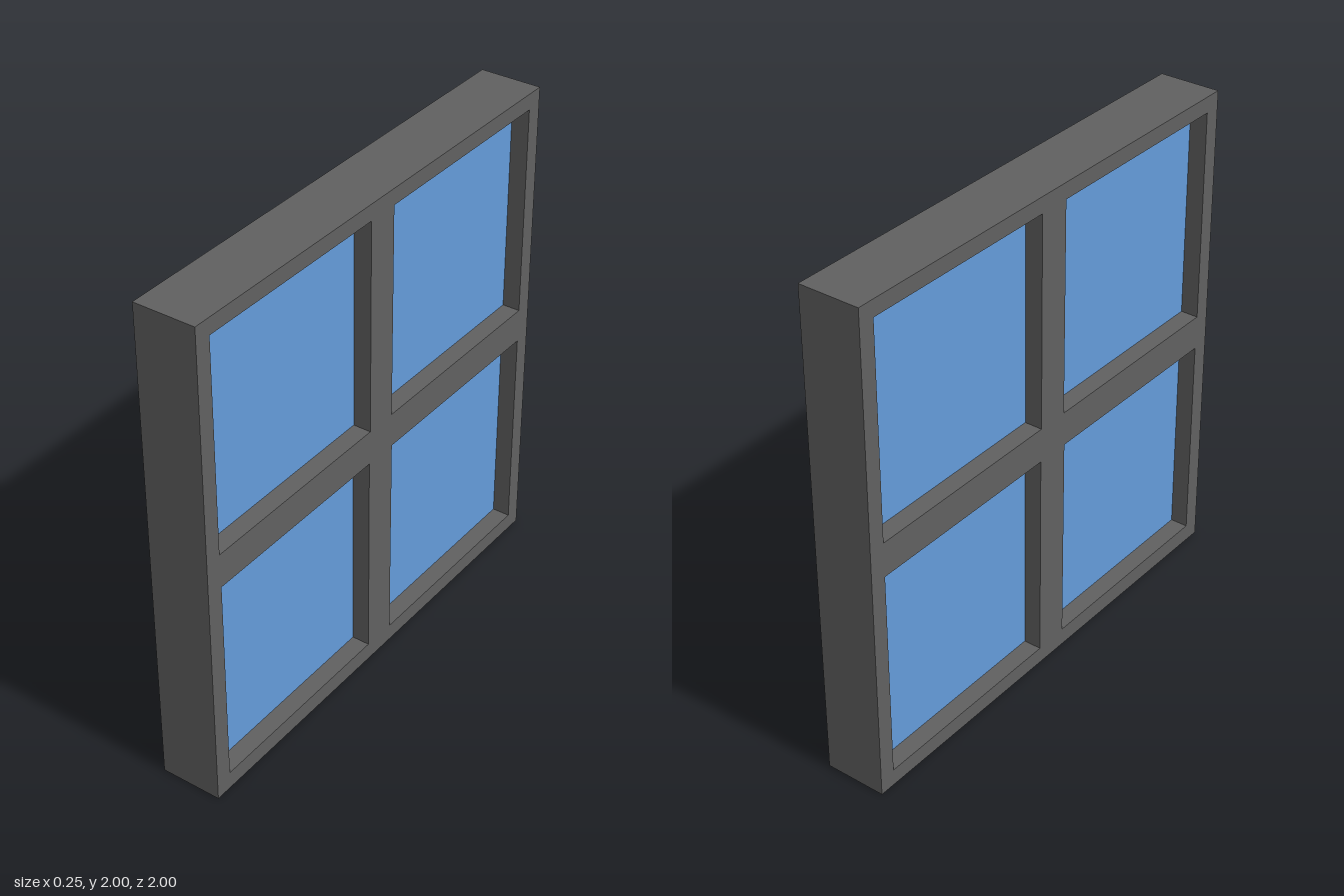
import * as THREE from 'three';

const FRAME_DEPTH = 0.25, GLASS_DEPTH = 0.104;

// Pane openings: [u0, u1, y0, y1], where u runs along -z
const openings = {
  upperFrontPane: [-0.933, -0.067, 1.07, 1.935],
  upperBackPane: [0.067, 0.933, 1.07, 1.935],
  lowerFrontPane: [-0.93, -0.072, 0.072, 0.93],
  lowerBackPane: [0.07, 0.933, 0.068, 0.93],
};

function rectangle(path, u0, u1, y0, y1) {
  path.moveTo(u0, y0);
  path.lineTo(u1, y0);
  path.lineTo(u1, y1);
  path.lineTo(u0, y1);
  path.closePath();
  return path;
}

export function createModel() {
  const group = new THREE.Group();
  group.name = 'window';
  const frameMaterial = new THREE.MeshStandardMaterial({ color: 0x606060 });
  const glassMaterial = new THREE.MeshStandardMaterial({ color: 0x649bd9 });

  // Frame with its cross bars, one slab with four openings
  const outline = rectangle(new THREE.Shape(), -1, 1, 0, 2);
  for (const o of Object.values(openings)) outline.holes.push(rectangle(new THREE.Path(), ...o));
  const frameGeometry = new THREE.ExtrudeGeometry(outline, { depth: FRAME_DEPTH, bevelEnabled: false });
  frameGeometry.translate(0, 0, -FRAME_DEPTH / 2).rotateY(Math.PI / 2);
  const frame = new THREE.Mesh(frameGeometry, frameMaterial);
  frame.name = 'frame';
  group.add(frame);

  // Glass panes, recessed equally on both faces
  for (const [name, [u0, u1, y0, y1]] of Object.entries(openings)) {
    const pane = new THREE.Mesh(new THREE.BoxGeometry(GLASS_DEPTH, y1 - y0, u1 - u0), glassMaterial);
    pane.position.set(0, (y0 + y1) / 2, -(u0 + u1) / 2);
    pane.name = name;
    group.add(pane);
  }
  return group;
}
